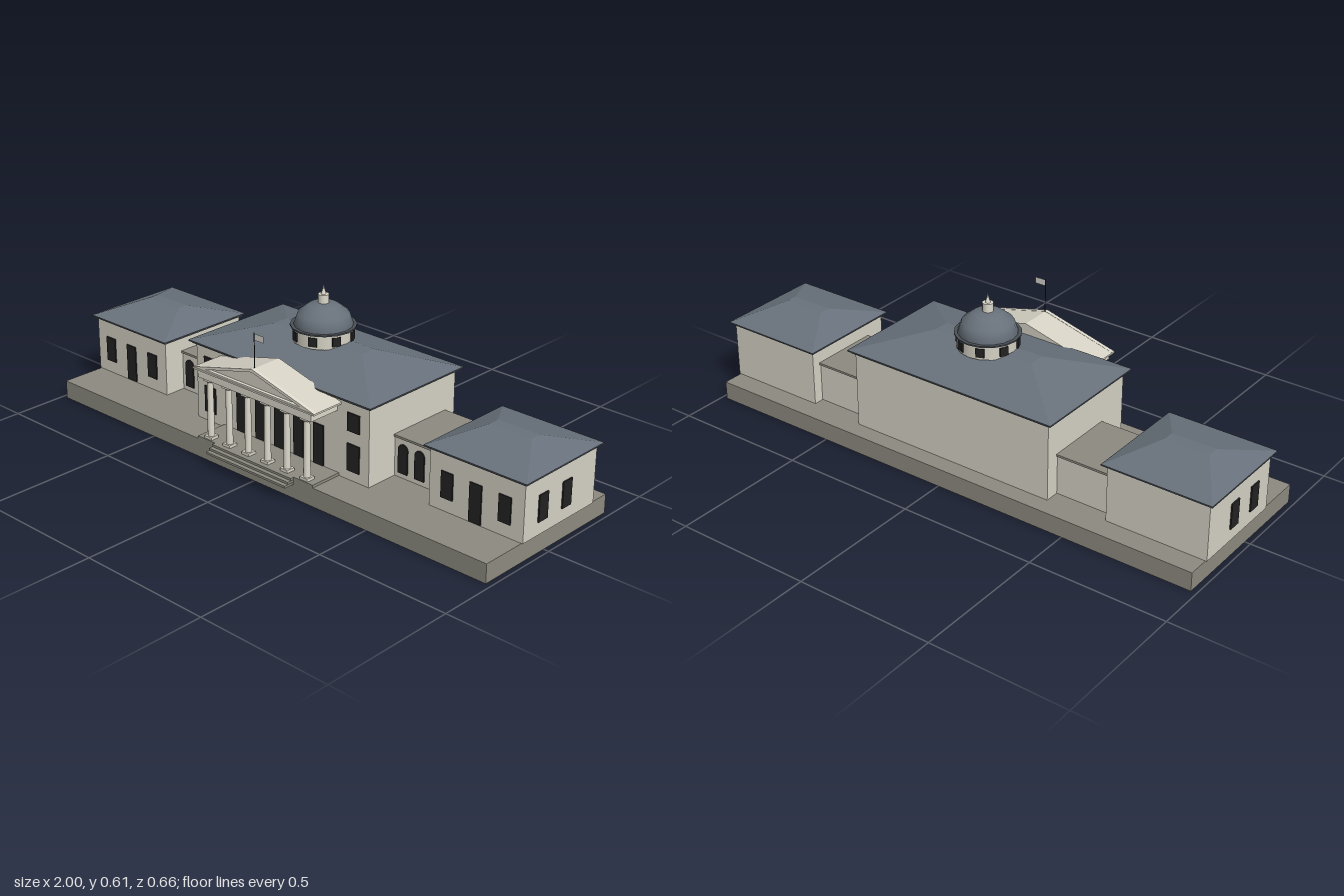
import * as THREE from 'three';

const mat = (name, color, side = THREE.FrontSide) => {
  const m = new THREE.MeshStandardMaterial({ color, side });
  m.name = name;
  return m;
};

export function createModel() {
  const wall = mat('creamStone', 0xd6d2c5);
  const trim = mat('paleTrim', 0xdedacd);
  const stone = mat('plinthStone', 0x8d8b80);
  const slate = mat('slateRoof', 0x68717b);
  const eaveDark = mat('darkEave', 0x4b5158);
  const glass = mat('darkOpening', 0x222222);
  const flagMat = mat('flagCloth', 0xd4d2cc, THREE.DoubleSide);

  const root = new THREE.Group();
  root.name = 'domedHall';

  const add = (parent, name, geo, material, x = 0, y = 0, z = 0) => {
    const m = new THREE.Mesh(geo, material);
    m.name = name;
    m.position.set(x, y, z);
    parent.add(m);
    return m;
  };
  const group = (name, parent = root) => {
    const g = new THREE.Group();
    g.name = name;
    parent.add(g);
    return g;
  };
  // Box given by its lower and upper limits on each axis
  const block = (parent, name, material, x0, x1, y0, y1, z0, z1) =>
    add(parent, name, new THREE.BoxGeometry(x1 - x0, y1 - y0, z1 - z0), material,
      (x0 + x1) / 2, (y0 + y1) / 2, (z0 + z1) / 2);
  // Hipped roof: a box whose top is drawn in to a small flat
  const hip = (parent, w, d, topW, topD, h, x, y, z) => {
    const g = new THREE.BoxGeometry(w, h, d);
    const p = g.attributes.position;
    for (let i = 0; i < p.count; i++) {
      if (p.getY(i) > 0) p.setXYZ(i, Math.sign(p.getX(i)) * topW / 2, h / 2, Math.sign(p.getZ(i)) * topD / 2);
    }
    g.computeVertexNormals();
    add(parent, 'hippedRoof', g, slate, x, y + h / 2, z);
  };
  // Thin opening on a front wall
  const opening = (parent, name, x, w, y0, y1, z) =>
    block(parent, name, glass, x - w / 2, x + w / 2, y0, y1, z - 0.003, z + 0.005);

  block(root, 'plinth', stone, -0.98, 0.98, 0, 0.068, -0.328, 0.288);

  // Central block
  const main = group('mainBlock');
  block(main, 'mainWalls', wall, -0.4, 0.4, 0.068, 0.348, -0.265, 0.163);
  block(main, 'mainCornice', trim, -0.41, 0.41, 0.347, 0.355, -0.275, 0.173);
  block(main, 'mainEave', eaveDark, -0.42, 0.42, 0.355, 0.36, -0.284, 0.183);
  hip(main, 0.836, 0.463, 0.4, 0.06, 0.063, 0, 0.36, -0.051);
  for (const s of [-1, 1]) {
    opening(main, 'upperWindow', s * 0.334, 0.053, 0.245, 0.31, 0.163);
    opening(main, 'lowerWindow', s * 0.334, 0.053, 0.103, 0.2, 0.163);
  }
  for (let i = -2; i <= 2; i++) opening(main, 'porchDoor', i * 0.09, 0.045, 0.08, 0.226, 0.163);

  // Side wings and arcaded links
  const arch = new THREE.Shape();
  arch.moveTo(-0.02, 0);
  arch.lineTo(0.02, 0);
  arch.lineTo(0.02, 0.085);
  arch.absarc(0, 0.085, 0.02, 0, Math.PI, false);
  arch.lineTo(-0.02, 0);
  const archGeo = new THREE.ExtrudeGeometry(arch, { depth: 0.008, bevelEnabled: false, curveSegments: 10 });

  for (const s of [-1, 1]) {
    const side = s > 0 ? 'left' : 'right';
    const wing = group(side + 'Wing');
    const c = s * 0.8;
    block(wing, 'wingWalls', wall, c - 0.185, c + 0.185, 0.068, 0.272, -0.25, 0.118);
    block(wing, 'wingCornice', trim, c - 0.193, c + 0.193, 0.269, 0.275, -0.258, 0.126);
    block(wing, 'wingEave', eaveDark, c - 0.2, c + 0.2, 0.275, 0.28, -0.266, 0.134);
    hip(wing, 0.396, 0.396, 0.16, 0.04, 0.05, c, 0.28, -0.066);
    for (const k of [-1, 1]) {
      opening(wing, 'wingWindow', c + k * 0.113, 0.047, 0.115, 0.208, 0.118);
      const z = -0.036 + k * 0.061;
      const x = s * 0.986;
      block(wing, 'endWindow', glass, x - 0.004, x + 0.004, 0.115, 0.208, z - 0.023, z + 0.023);
    }
    opening(wing, 'wingDoor', c, 0.047, 0.072, 0.208, 0.118);

    const link = group(side + 'Link');
    const m = s * 0.507;
    block(link, 'linkWalls', wall, m - 0.112, m + 0.112, 0.068, 0.21, -0.212, 0.036);
    block(link, 'linkFlatRoof', stone, m - 0.112, m + 0.112, 0.21, 0.218, -0.218, 0.042);
    for (const k of [-1, 0, 1]) add(link, 'arch', archGeo, glass, m + k * 0.07, 0.086, 0.033);
  }

  // Porch floor, steps and colonnade
  const porch = group('portico');
  block(porch, 'porchFloor', stone, -0.27, 0.27, 0.06, 0.078, 0.16, 0.288);
  [0.302, 0.316, 0.33].forEach((z, i) =>
    block(porch, 'step', stone, -0.185, 0.185, 0.07 - i * 0.009, 0.078 - i * 0.009, 0.28, z));
  const shaft = new THREE.CylinderGeometry(0.0105, 0.0125, 0.2, 14);
  const capital = new THREE.CylinderGeometry(0.017, 0.012, 0.006, 14);
  for (let i = 0; i < 6; i++) {
    const x = (i - 2.5) * 0.09;
    const col = group('column', porch);
    block(col, 'columnBase', trim, x - 0.017, x + 0.017, 0.078, 0.088, 0.25, 0.284);
    add(col, 'columnShaft', shaft, trim, x, 0.188, 0.267);
    add(col, 'columnNeck', capital, trim, x, 0.29, 0.267);
    block(col, 'columnCapital', trim, x - 0.017, x + 0.017, 0.292, 0.3, 0.25, 0.284);
  }
  block(porch, 'entablature', trim, -0.262, 0.262, 0.3, 0.328, 0.16, 0.288);
  block(porch, 'porchCornice', trim, -0.28, 0.28, 0.328, 0.334, 0.16, 0.294);

  // Pediment: solid gable with a raised rim around the recessed face
  const triangle = (T, w, y0, y1) => {
    const t = new T();
    t.moveTo(-w, y0);
    t.lineTo(w, y0);
    t.lineTo(0, y1);
    t.closePath();
    return t;
  };
  const gable = triangle(THREE.Shape, 0.278, 0.334, 0.406);
  add(porch, 'pediment', new THREE.ExtrudeGeometry(gable, { depth: 0.117, bevelEnabled: false }), wall, 0, 0, 0.163);
  const rim = triangle(THREE.Shape, 0.28, 0.334, 0.407);
  rim.holes.push(triangle(THREE.Path, 0.22, 0.34, 0.396));
  add(porch, 'pedimentRim', new THREE.ExtrudeGeometry(rim, { depth: 0.014, bevelEnabled: false }), trim, 0, 0, 0.278);

  // Flag
  const flag = group('flag');
  add(flag, 'flagPole', new THREE.CylinderGeometry(0.0016, 0.0016, 0.13, 6), glass, 0, 0.465, 0.277);
  add(flag, 'flagCloth', new THREE.PlaneGeometry(0.042, 0.023), flagMat, 0.022, 0.516, 0.277);

  // Dome on a windowed drum
  const dome = group('dome');
  dome.position.z = -0.051;
  add(dome, 'drum', new THREE.CylinderGeometry(0.105, 0.105, 0.052, 16), wall, 0, 0.439, 0);
  add(dome, 'drumCornice', new THREE.CylinderGeometry(0.114, 0.114, 0.005, 16), eaveDark, 0, 0.4655, 0);
  const cap = new THREE.SphereGeometry(0.102, 16, 3, 0, Math.PI * 2, 0, Math.PI / 2);
  cap.scale(1, 0.08 / 0.102, 1);
  add(dome, 'domeShell', cap, slate, 0, 0.468, 0);
  for (let i = 0; i < 8; i++) {
    const a = (i + 0.5) * Math.PI / 4;
    const w = add(dome, 'drumWindow', new THREE.BoxGeometry(0.03, 0.032, 0.008), glass,
      Math.sin(a) * 0.103, 0.438, Math.cos(a) * 0.103);
    w.rotation.y = a;
  }
  add(dome, 'lantern', new THREE.CylinderGeometry(0.019, 0.019, 0.031, 12), trim, 0, 0.5585, 0);
  add(dome, 'spire', new THREE.ConeGeometry(0.009, 0.034, 8), trim, 0, 0.591, 0);

  return root;
}
